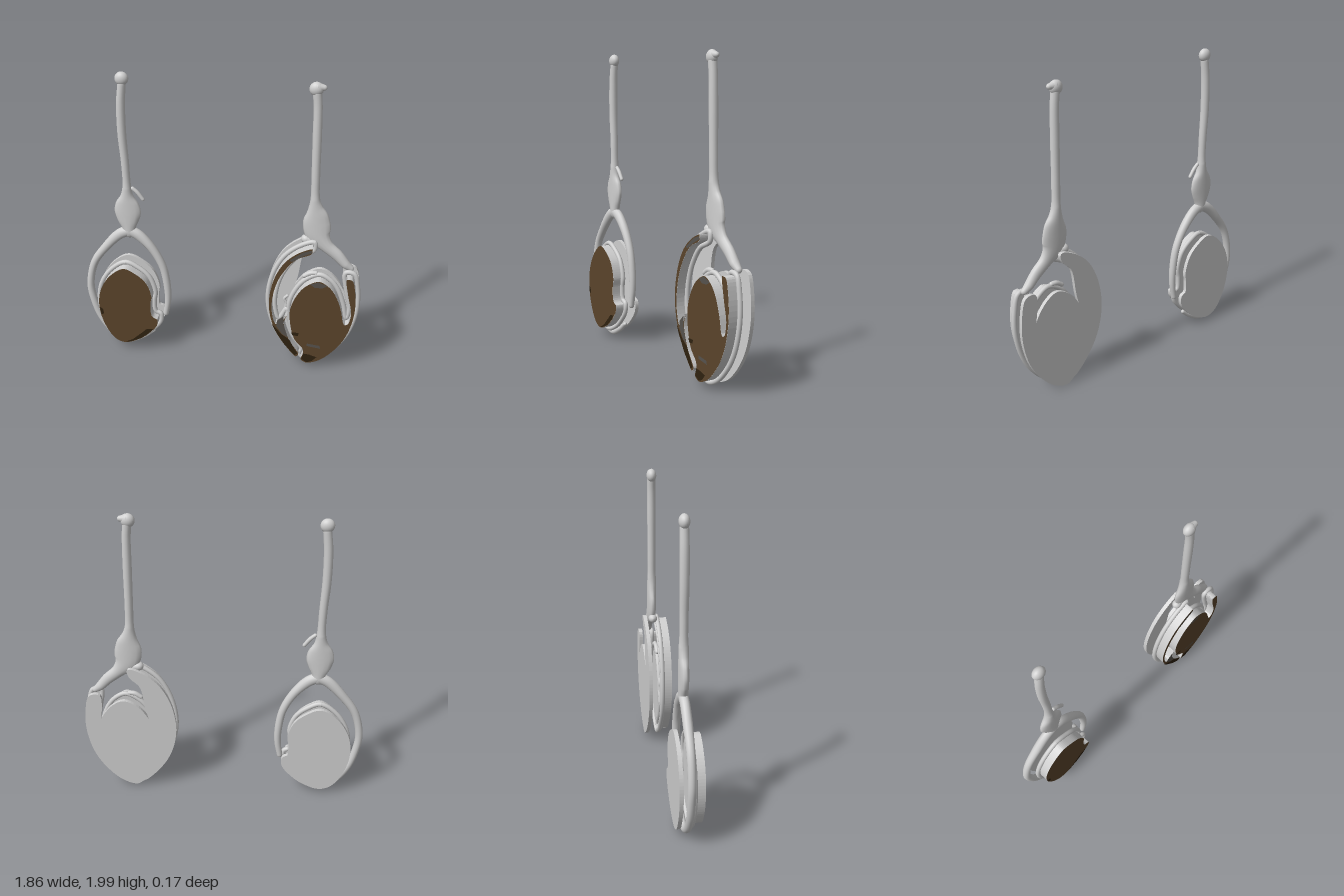
import * as THREE from 'three';

const mat = (name, color, side = THREE.FrontSide) => {
  const m = new THREE.MeshStandardMaterial({ color, side });
  m.name = name;
  return m;
};

const V2 = (x, y) => new THREE.Vector2(x, y);

// Smooth closed outline through [x, y] points, optionally offset outward (+) or inward (-)
function outline(pts, offset = 0, n = 110) {
  const curve = new THREE.CatmullRomCurve3(pts.map(p => new THREE.Vector3(p[0], p[1], 0)), true, 'centripetal');
  const ring = curve.getPoints(n).slice(0, n).map(p => V2(p.x, p.y));
  const sign = THREE.ShapeUtils.isClockWise(ring) ? -1 : 1;
  return ring.map((p, i) => {
    const t = ring[(i + 1) % n].clone().sub(ring[(i + n - 1) % n]).normalize();
    return V2(p.x + t.y * offset * sign, p.y - t.x * offset * sign);
  });
}

// Planar sweep through [x, y, radius] points, flattened in depth, with rounded ends
function sweep(pts, { z = -0.02, depth = 0.03, closed = false, steps = 60, sides = 14 } = {}) {
  const curve = new THREE.CatmullRomCurve3(pts.map(p => new THREE.Vector3(...p)), closed, 'centripetal');
  const rings = [];
  for (let i = 0; i <= steps; i++) {
    const c = curve.getPoint(i / steps), t = curve.getTangent(i / steps).setZ(0).normalize();
    const ring = (s, shift) => rings.push({ x: c.x + t.x * shift, y: c.y + t.y * shift, t, r: c.z * s, d: Math.min(c.z, depth) * s });
    if (i === 0 && !closed) for (const a of [1.57, 1.2, 0.8, 0.4]) ring(Math.cos(a), -Math.sin(a) * c.z);
    ring(1, 0);
    if (i === steps && !closed) for (const a of [0.4, 0.8, 1.2, 1.57]) ring(Math.cos(a), Math.sin(a) * c.z);
  }
  const pos = [], idx = [];
  rings.forEach((g, i) => {
    for (let j = 0; j < sides; j++) {
      const a = (j / sides) * Math.PI * 2, k = Math.cos(a) * g.r;
      pos.push(g.x - g.t.y * k, g.y + g.t.x * k, z + Math.sin(a) * g.d);
      if (i + 1 < rings.length) {
        const A = i * sides + j, B = i * sides + (j + 1) % sides;
        idx.push(A, B, B + sides, A, B + sides, A + sides);
      }
    }
  });
  const geo = new THREE.BufferGeometry();
  geo.setAttribute('position', new THREE.Float32BufferAttribute(pos, 3));
  geo.setIndex(idx);
  geo.computeVertexNormals();
  return geo;
}

export function createModel() {
  const model = new THREE.Group();
  const silver = mat('silver', 0xcfcfcf);
  const brown = mat('brown', 0x5a442b);
  const darkBrown = mat('dark brown', 0x2e2110);
  const darkGrey = mat('dark grey', 0x56524d);

  const add = (group, name, geo, material = silver, z = 0) => {
    const m = new THREE.Mesh(geo, material);
    m.name = name;
    m.position.z = z;
    group.add(m);
  };
  const slab = (group, name, ring, z0, z1) =>
    add(group, name, new THREE.ExtrudeGeometry(new THREE.Shape(ring), { depth: z1 - z0, bevelEnabled: false }), silver, z0);
  const patch = (group, name, pts, material) =>
    add(group, name, new THREE.ShapeGeometry(new THREE.Shape(pts.map(p => V2(...p)))), material, 0.083);

  // Rounded rim, raised setting and coloured face sharing one outline
  const setting = (group, name, pts) => {
    add(group, name + 'Rim', sweep(pts.map(p => [...p, 0.016]), { z: 0.012, closed: true, steps: 140, sides: 10 }));
    const inner = outline(pts, -0.014);
    slab(group, name + 'Setting', inner, 0.012, 0.08);
    add(group, name + 'Face', new THREE.ShapeGeometry(new THREE.Shape(inner)), brown, 0.081);
  };

  // ---- Right earring: closed hoop around a single stone ----
  const a = new THREE.Group();
  a.name = 'rightEarring';
  model.add(a);
  add(a, 'stem', sweep([[-0.608, 1.93, 0.026], [-0.622, 1.8, 0.028], [-0.625, 1.6, 0.028], [-0.615, 1.4, 0.026],
    [-0.612, 1.24, 0.028], [-0.614, 1.17, 0.042], [-0.615, 1.11, 0.077], [-0.615, 1.05, 0.088],
    [-0.615, 0.99, 0.073], [-0.612, 0.93, 0.045], [-0.61, 0.9, 0.04]], { steps: 90 }));
  const knob = new THREE.SphereGeometry(0.043, 20, 14);
  knob.scale(1, 1, 0.75);
  add(a, 'stemKnob', knob.clone().translate(-0.608, 1.957, -0.02));
  add(a, 'twig', sweep([[-0.575, 1.222, 0.012], [-0.545, 1.195, 0.013], [-0.51, 1.148, 0.012]], { steps: 14 }));
  add(a, 'hoopLongArm', sweep([[-0.61, 0.91, 0.036], [-0.675, 0.88, 0.036], [-0.78, 0.77, 0.029], [-0.865, 0.645, 0.026],
    [-0.905, 0.47, 0.025], [-0.89, 0.34, 0.025], [-0.845, 0.2, 0.024], [-0.765, 0.09, 0.024],
    [-0.655, 0.032, 0.023], [-0.545, 0.075, 0.019], [-0.475, 0.125, 0.014]], { steps: 90 }));
  add(a, 'hoopShortArm', sweep([[-0.61, 0.91, 0.036], [-0.55, 0.88, 0.036], [-0.465, 0.79, 0.029], [-0.395, 0.655, 0.026],
    [-0.368, 0.51, 0.025], [-0.365, 0.39, 0.022], [-0.382, 0.28, 0.019]]));
  const stone = [[-0.64, 0.683], [-0.745, 0.615], [-0.82, 0.49], [-0.838, 0.34], [-0.8, 0.19], [-0.73, 0.085],
    [-0.655, 0.058], [-0.545, 0.1], [-0.475, 0.155], [-0.412, 0.235], [-0.41, 0.292], [-0.445, 0.315],
    [-0.452, 0.4], [-0.443, 0.47], [-0.48, 0.58], [-0.55, 0.645]];
  setting(a, 'stone', stone);
  slab(a, 'backPlate', outline(stone, 0.013), -0.083, -0.058);
  patch(a, 'lowerStain', [[-0.655, 0.077], [-0.6, 0.105], [-0.53, 0.17], [-0.5, 0.2], [-0.455, 0.205],
    [-0.482, 0.17], [-0.545, 0.118], [-0.62, 0.083]], darkBrown);
  patch(a, 'sideStain', [[-0.822, 0.35], [-0.8, 0.335], [-0.793, 0.3], [-0.812, 0.29]], darkBrown);

  // ---- Left earring: stone with two horns ----
  const b = new THREE.Group();
  b.name = 'leftEarring';
  model.add(b);
  add(b, 'stem', sweep([[0.573, 1.94, 0.028], [0.582, 1.85, 0.027], [0.587, 1.66, 0.028], [0.592, 1.4, 0.027],
    [0.597, 1.24, 0.03], [0.603, 1.18, 0.046], [0.612, 1.12, 0.075], [0.615, 1.06, 0.088], [0.63, 0.98, 0.08],
    [0.685, 0.91, 0.046], [0.76, 0.845, 0.038], [0.815, 0.785, 0.03], [0.85, 0.757, 0.021]], { steps: 100 }));
  add(b, 'stemKnob', knob.clone().translate(0.568, 1.957, -0.02));
  add(b, 'stemSpur', sweep([[0.575, 1.968, 0.03], [0.612, 1.967, 0.018]], { steps: 6 }));
  add(b, 'hornHook', sweep([[0.55, 0.95, 0.03], [0.59, 0.94, 0.025], [0.618, 0.91, 0.015]], { steps: 12 }));

  const outerLeft = [[0.61, 0.945], [0.53, 0.92], [0.43, 0.84], [0.362, 0.72], [0.325, 0.56], [0.33, 0.42],
    [0.37, 0.285], [0.44, 0.17], [0.53, 0.075]];
  const outerRight = [[0.55, 0.065], [0.6, 0.032], [0.695, 0.065], [0.8, 0.17], [0.87, 0.295], [0.91, 0.47],
    [0.905, 0.63], [0.875, 0.735], [0.82, 0.738]];
  setting(b, 'crescent', [...outerLeft, [0.56, 0.11], [0.495, 0.22], [0.455, 0.34], [0.452, 0.43],
    [0.4, 0.345], [0.37, 0.45], [0.382, 0.6], [0.425, 0.72], [0.51, 0.835], [0.61, 0.89]]);
  setting(b, 'stone', [...outerRight, [0.835, 0.6], [0.862, 0.47], [0.845, 0.39], [0.82, 0.5], [0.775, 0.615],
    [0.72, 0.68], [0.655, 0.71], [0.565, 0.665], [0.505, 0.585], [0.465, 0.47], [0.47, 0.34], [0.505, 0.22],
    [0.565, 0.14]]);
  slab(b, 'backPlate', outline([...outerLeft, ...outerRight, [0.815, 0.64], [0.83, 0.52], [0.775, 0.61], [0.72, 0.67],
    [0.655, 0.7], [0.565, 0.655], [0.505, 0.575], [0.465, 0.5], [0.5, 0.64], [0.535, 0.83], [0.6, 0.9]], 0.01, 150),
  -0.083, -0.058);
  add(b, 'rimTab', sweep([[0.555, 0.69, 0.015], [0.595, 0.715, 0.016], [0.63, 0.718, 0.015]], { z: 0.01, steps: 12 }));
  add(b, 'edgeTwig', sweep([[0.44, 0.42, 0.01], [0.445, 0.47, 0.01], [0.432, 0.5, 0.01], [0.45, 0.525, 0.01]], { z: 0.01, steps: 16 }));

  // Painted stains on the faces
  patch(b, 'crescentStain', [[0.36, 0.34], [0.43, 0.26], [0.48, 0.225], [0.54, 0.115], [0.52, 0.1], [0.45, 0.18], [0.385, 0.285]], darkBrown);
  patch(b, 'crescentPatch', [[0.395, 0.37], [0.437, 0.41], [0.44, 0.34], [0.47, 0.24], [0.43, 0.265], [0.39, 0.325]], darkGrey);
  patch(b, 'crescentTip', [[0.6, 0.925], [0.54, 0.903], [0.46, 0.84], [0.475, 0.83], [0.55, 0.88], [0.6, 0.905]], darkGrey);
  patch(b, 'topPatch', [[0.6, 0.672], [0.65, 0.693], [0.71, 0.67], [0.68, 0.65], [0.63, 0.65]], darkGrey);
  patch(b, 'smallPatch', [[0.6, 0.205], [0.6, 0.185], [0.69, 0.172], [0.685, 0.195]], darkGrey);
  patch(b, 'sideStain', [[0.49, 0.285], [0.54, 0.285], [0.54, 0.26], [0.502, 0.26]], darkBrown);
  patch(b, 'lowerStain', [[0.578, 0.12], [0.568, 0.072], [0.605, 0.05], [0.64, 0.065], [0.67, 0.1], [0.62, 0.115]], darkBrown);
  return model;
}
